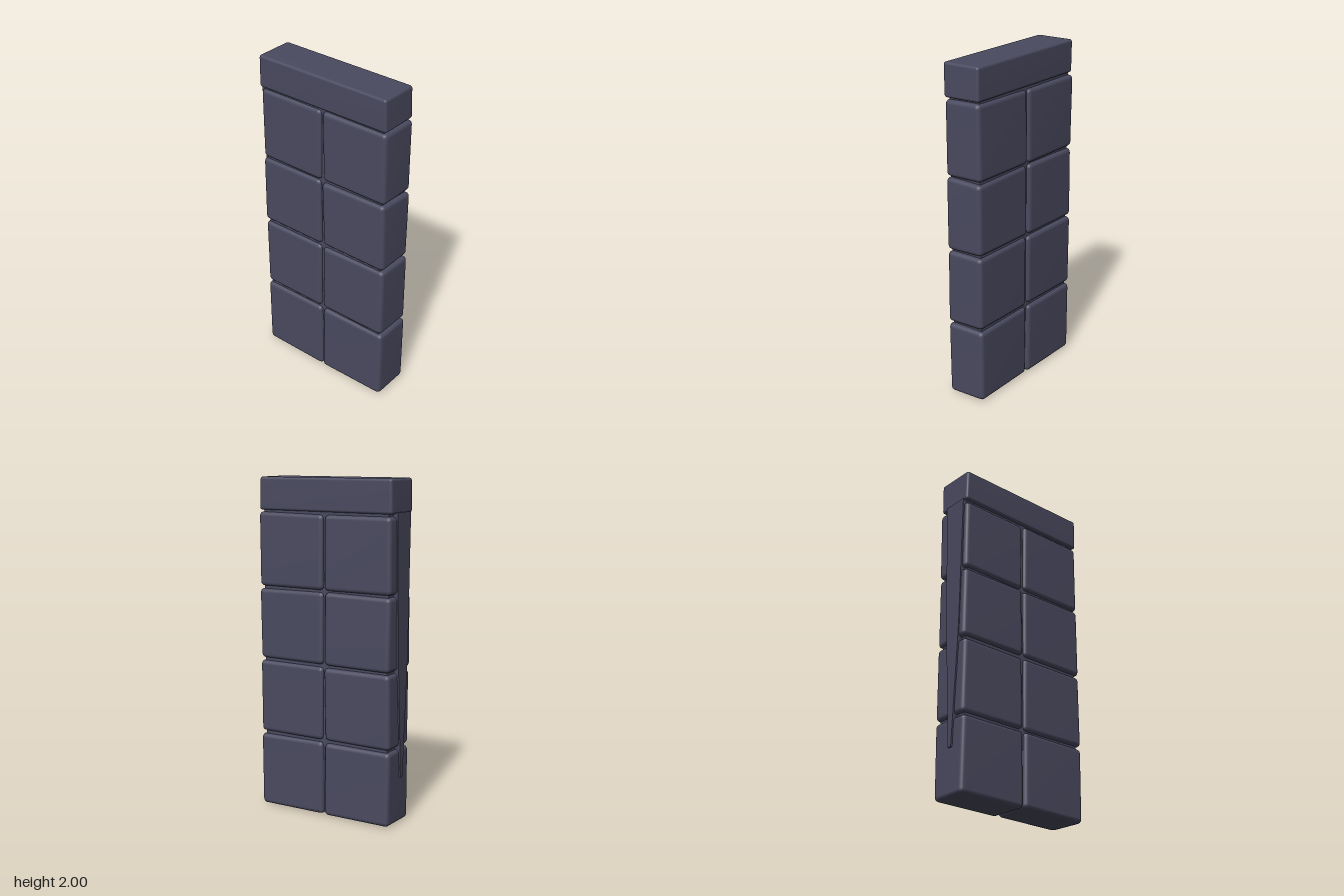
import * as THREE from 'three';
import { mergeVertices } from 'three/addons/utils/BufferGeometryUtils.js';
import { RoundedBoxGeometry } from 'three/addons/geometries/RoundedBoxGeometry.js';

let seed = 7;
const rand = () => {
  seed = (seed * 16807) % 2147483647;
  return seed / 2147483647 - 0.5;
};

// Rounded stone with each corner nudged a little, given by its bounds
function stoneGeometry(min, max, radius, wobble) {
  const size = max.map((v, i) => v - min[i]);
  let geo = new RoundedBoxGeometry(size[0], size[1], size[2], 2, radius);
  geo.deleteAttribute('uv');
  geo.deleteAttribute('normal');
  geo = mergeVertices(geo, 1e-4);
  const corners = Array.from({ length: 8 }, () => [rand() * wobble, rand() * wobble, rand() * wobble]);
  const p = geo.attributes.position;
  for (let i = 0; i < p.count; i++) {
    const k = (p.getX(i) > 0 ? 1 : 0) + (p.getY(i) > 0 ? 2 : 0) + (p.getZ(i) > 0 ? 4 : 0);
    const c = corners[k];
    p.setXYZ(i, p.getX(i) + c[0], p.getY(i) + c[1], p.getZ(i) + c[2]);
  }
  geo.computeVertexNormals();
  geo.translate(...min.map((v, i) => (v + max[i]) / 2));
  return geo;
}

export function createModel() {
  const group = new THREE.Group();
  group.name = 'stoneWall';
  const stone = new THREE.MeshStandardMaterial({ color: 0x4a4a60 });
  stone.name = 'slate stone';
  const add = (geo, name) => {
    const mesh = new THREE.Mesh(geo, stone);
    mesh.name = name;
    group.add(mesh);
  };

  // Four courses of two square blocks
  const rows = [[0.006, 0.452], [0.464, 0.906], [0.918, 1.345], [1.355, 1.793]];
  rows.forEach(([y0, y1], r) => {
    add(stoneGeometry([-0.127, y0, 0.007], [0.118, y1, 0.449], 0.026, 0.007), 'frontBlock' + (r + 1));
    add(stoneGeometry([-0.125, y0, -0.441], [0.122, y1, -0.004], 0.026, 0.007), 'backBlock' + (r + 1));
  });

  // Capstone across the top
  add(stoneGeometry([-0.128, 1.805, -0.443], [0.112, 2, 0.447], 0.016, 0.004), 'capstone');

  // Recessed core that closes the joints
  const core = new THREE.BoxGeometry(0.205, 1.5, 0.84);
  core.translate(-0.004, 1.1, 0.002);
  add(core, 'mortarCore');

  // Tapering sliver of stone bridging the joints at the back
  const outline = new THREE.Shape([
    [-0.1, 1.815], [-0.08, 1.0], [-0.035, 0.28], [-0.01, 0.28], [0.03, 1.0], [0.055, 1.815],
  ].map(([x, y]) => new THREE.Vector2(x, y)));
  const sliver = new THREE.ExtrudeGeometry(outline, { depth: 0.04, bevelEnabled: false });
  sliver.translate(0, 0, -0.449);
  add(sliver, 'backSliver');

  return group;
}
